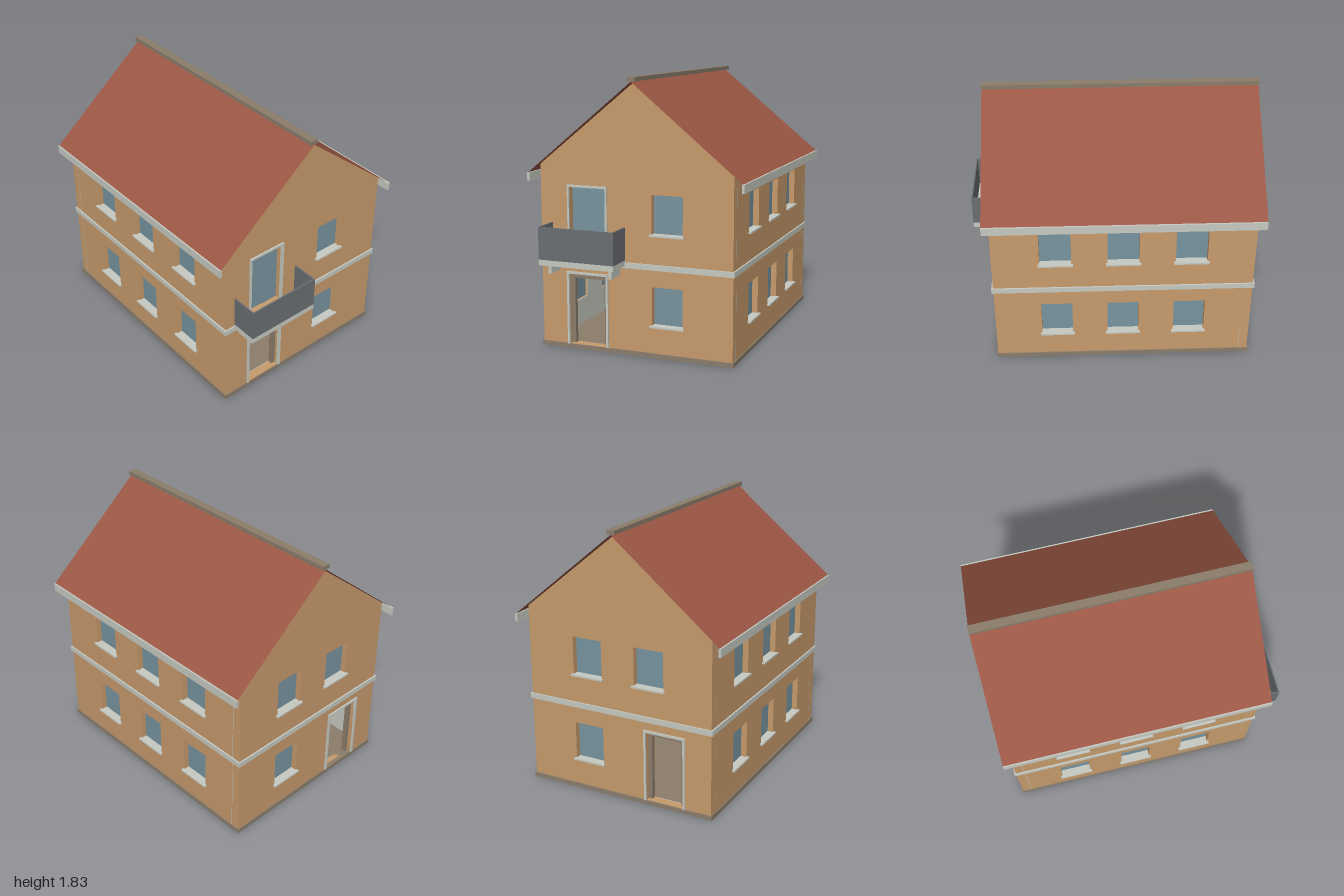
import * as THREE from 'three';

const mat = (name, color, double) => {
  const m = new THREE.MeshStandardMaterial({ color });
  m.name = name;
  if (double) m.side = THREE.DoubleSide;
  return m;
};

const T = 0.06;                       // wall thickness
const Z0 = -0.07;                     // middle of the house along z
const HX = 0.675, HZ = 0.885;         // half width and half depth of the walls
const EAVE = 1.243, RIDGE = 1.79;

export function createModel() {
  const wallMat = mat('ochre plaster', 0xc79b6c);
  const roofMat = mat('red roof', 0x9c5745, true);
  const trimMat = mat('pale trim', 0xc7cac2);
  const stoneMat = mat('brown stone', 0x8b7d6b);
  const glassMat = mat('blue glass', 0x78949f);
  const railMat = mat('dark railing', 0x6b6f73);

  const house = new THREE.Group();
  house.name = 'house';

  // box given by its limits on each axis
  const box = (parent, name, m, [x0, x1], [y0, y1], [z0, z1]) => {
    const mesh = new THREE.Mesh(new THREE.BoxGeometry(x1 - x0, y1 - y0, z1 - z0), m);
    mesh.position.set((x0 + x1) / 2, (y0 + y1) / 2, (z0 + z1) / 2);
    mesh.name = name;
    parent.add(mesh);
    return mesh;
  };

  // three-sided surround of a door
  const surround = (parent, name, m, cx, halfW, y0, y1, side, top, z) => {
    box(parent, name + 'Left', m, [cx - halfW, cx - halfW + side], [y0, y1], z);
    box(parent, name + 'Right', m, [cx + halfW - side, cx + halfW], [y0, y1], z);
    box(parent, name + 'Top', m, [cx - halfW + side, cx + halfW - side], [y1 - top, y1], z);
  };

  // wall with its outer face at local z = 0; openings are [x0, x1, y0, y1]
  const makeWall = (name, outline, openings) => {
    const g = new THREE.Group();
    g.name = name;
    const shape = new THREE.Shape(outline.map(p => new THREE.Vector2(...p)));
    for (const [x0, x1, y0, y1] of openings) {
      shape.holes.push(new THREE.Path([[x0, y0], [x0, y1], [x1, y1], [x1, y0]]
        .map(p => new THREE.Vector2(...p))));
    }
    const layer = (part, m, depth, z) => {
      const mesh = new THREE.Mesh(new THREE.ExtrudeGeometry(shape, { depth, bevelEnabled: false }), m);
      mesh.position.z = z;
      mesh.name = part;
      g.add(mesh);
    };
    layer('plaster', wallMat, T, -T);
    layer('innerLining', trimMat, 0.004, -T - 0.004);
    house.add(g);
    return g;
  };

  // recessed pane with a projecting sill
  const win = (cx, y0) => [cx - 0.107, cx + 0.107, y0, y0 + 0.26];
  const glaze = (wall, [x0, x1, y0, y1]) => {
    box(wall, 'windowPane', glassMat, [x0, x1], [y0, y1], [-0.048, -0.04]);
    box(wall, 'windowSill', trimMat, [x0 - 0.012, x1 + 0.012], [y0 - 0.01, y0 + 0.002], [-0.04, 0.02]);
  };

  // ground-floor doorway: casing outside, brown frame inside the wall
  const doorway = (wall, cx) => {
    surround(wall, 'doorCasing', trimMat, cx, 0.15, 0.03, 0.53, 0.015, 0.015, [-0.01, 0.012]);
    surround(wall, 'doorFrame', stoneMat, cx, 0.135, 0.03, 0.515, 0.027, 0.035, [-T, -0.03]);
  };

  const LOW = 0.215, HIGH = 0.82;
  const gable = [[-HX, 0.005], [HX, 0.005], [HX, EAVE], [0, RIDGE], [-HX, EAVE]];
  const doorHole = cx => [cx - 0.135, cx + 0.135, 0.03, 0.515];

  // front wall with door, balcony door and two windows
  const frontWins = [win(0.228, LOW), win(0.228, HIGH)];
  const balconyHole = [-0.465, -0.205, 0.635, 1.1];
  const front = makeWall('frontWall', gable, [...frontWins, doorHole(-0.34), balconyHole]);
  front.position.z = Z0 + HZ;
  frontWins.forEach(w => glaze(front, w));
  doorway(front, -0.34);
  surround(front, 'balconyDoorCasing', trimMat, -0.335, 0.143, 0.63, 1.115, 0.013, 0.015, [-0.01, 0.012]);
  box(front, 'balconyDoorPane', glassMat, [-0.465, -0.205], [0.635, 1.1], [-0.055, -0.047]);
  box(front, 'balconyDoorLeaf', glassMat, [-0.335, -0.205], [0.635, 1.075], [-0.047, -0.042]);

  // back wall with door and three windows
  const backWins = [win(-0.228, LOW), win(-0.228, HIGH), win(0.228, HIGH)];
  const back = makeWall('backWall', gable, [...backWins, doorHole(0.34)]);
  back.rotation.y = Math.PI;
  back.position.z = Z0 - HZ;
  backWins.forEach(w => glaze(back, w));
  doorway(back, 0.34);

  // side walls, roof slopes and gutters
  const sideWins = [LOW, HIGH].flatMap(y => [-0.457, 0, 0.457].map(x => win(x, y)));
  const w = HZ - T;
  const zRoof = [-1, 0.855];
  for (const s of [1, -1]) {
    const label = s > 0 ? 'left' : 'right';
    const wall = makeWall(label + 'Wall', [[-w, 0.005], [w, 0.005], [w, EAVE - 0.003], [-w, EAVE - 0.003]], sideWins);
    wall.rotation.y = s * Math.PI / 2;
    wall.position.set(s * HX, 0, Z0);
    sideWins.forEach(o => glaze(wall, o));

    const run = 0.745, drop = 0.61;
    const roof = new THREE.Mesh(new THREE.PlaneGeometry(Math.hypot(run, drop), 1.855), roofMat);
    roof.geometry.rotateX(-Math.PI / 2);
    roof.rotation.z = -s * Math.atan2(drop, run);
    roof.position.set(s * run / 2, 1.798 - drop / 2, -0.0725);
    roof.name = label + 'RoofSlope';
    house.add(roof);

    const gx = [s * 0.737, s * 0.755].sort((a, b) => a - b);
    box(house, label + 'Gutter', trimMat, gx, [1.13, 1.187], zRoof);
  }
  box(house, 'ridgeCap', stoneMat, [-0.028, 0.028], [1.8, 1.828], zRoof);

  // base slab, and storey slab that shows outside as a band
  box(house, 'baseSlab', stoneMat, [-0.683, 0.683], [0, 0.03], [-0.962, 0.822]);
  box(house, 'storeyBand', trimMat, [-0.686, 0.686], [0.588, 0.625], [-0.966, 0.826]);

  // balcony
  const balcony = new THREE.Group();
  balcony.name = 'balcony';
  house.add(balcony);
  box(balcony, 'balconySlab', trimMat, [-0.602, -0.067], [0.6, 0.638], [0.815, 1]);
  const railY = [0.638, 0.855];
  box(balcony, 'frontRailing', railMat, [-0.602, -0.067], railY, [0.99, 1]);
  for (const x of [-0.602, -0.077]) box(balcony, 'sideRailing', railMat, [x, x + 0.01], railY, [0.815, 0.99]);
  for (const x of [-0.562, -0.128]) box(balcony, 'bracket', trimMat, [x, x + 0.022], [0.535, 0.6], [0.815, 0.945]);

  return house;
}
